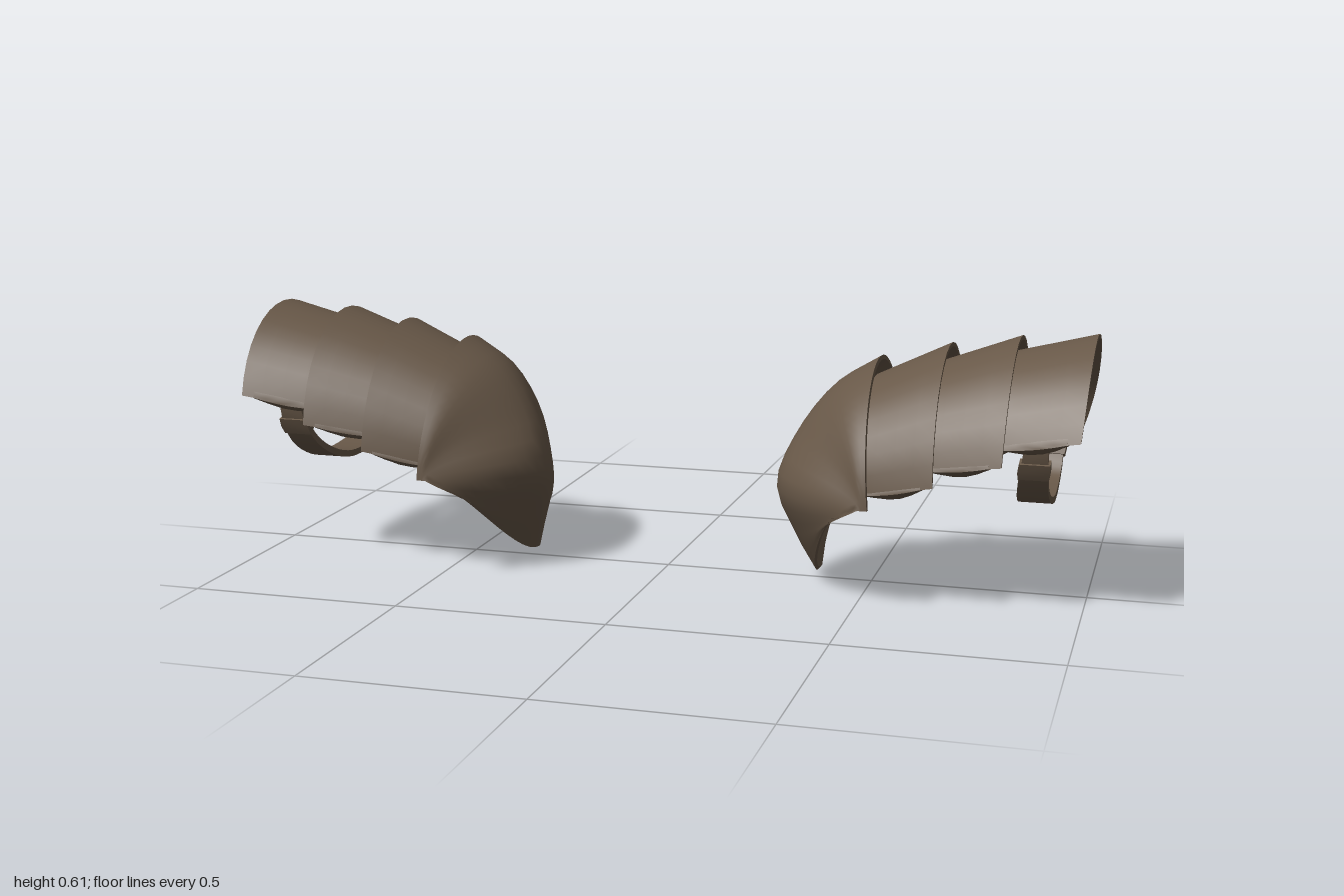
import * as THREE from 'three';
import { toCreasedNormals } from 'three/addons/utils/BufferGeometryUtils.js';

const { lerp, smoothstep, degToRad } = THREE.MathUtils;

// Closed thin shell from point(u, v, w): u runs toward the body, v front to back,
// w = 0 is the outer face and w = 1 the inner face. side = -1 mirrors it in x.
function shell(point, nu, nv, side) {
  const pos = [];
  const P = (i, j, w) => {
    const [x, y, z] = point(i / nu, j / nv, w);
    return [x * side, y, z];
  };
  const quad = (a, b, c, d) => {
    if (side < 0) [b, d] = [d, b];
    pos.push(...a, ...b, ...c, ...a, ...c, ...d);
  };
  for (let i = 0; i < nu; i++) {
    for (let j = 0; j < nv; j++) {
      quad(P(i, j, 0), P(i, j + 1, 0), P(i + 1, j + 1, 0), P(i + 1, j, 0));
      quad(P(i, j, 1), P(i + 1, j, 1), P(i + 1, j + 1, 1), P(i, j + 1, 1));
    }
    quad(P(i, 0, 0), P(i + 1, 0, 0), P(i + 1, 0, 1), P(i, 0, 1));
    quad(P(i, nv, 0), P(i, nv, 1), P(i + 1, nv, 1), P(i + 1, nv, 0));
  }
  for (let j = 0; j < nv; j++) {
    quad(P(0, j, 0), P(0, j, 1), P(0, j + 1, 1), P(0, j + 1, 0));
    quad(P(nu, j, 0), P(nu, j + 1, 0), P(nu, j + 1, 1), P(nu, j, 1));
  }
  const g = new THREE.BufferGeometry();
  g.setAttribute('position', new THREE.Float32BufferAttribute(pos, 3));
  return toCreasedNormals(g, 0.7);
}

// Arched plates: x, crown height and half width at the wide and narrow rims,
// arch centre height, the heights where the front and back edges stop,
// and how far the front and back corners of the wide rim shift in x
const PLATES = [
  { name: 'outerPlate', x: [1.0, 0.8], top: [0.61, 0.56], half: [0.283, 0.242], cy: 0.3, front: [0.415, 0.38], back: [0.335, 0.325], corner: [-0.01, -0.045] },
  { name: 'upperMiddlePlate', x: [0.83, 0.64], top: [0.6, 0.53], half: [0.285, 0.242], cy: 0.28, front: [0.355, 0.325], back: [0.295, 0.265], corner: [-0.005, -0.02] },
  { name: 'lowerMiddlePlate', x: [0.672, 0.5], top: [0.577, 0.495], half: [0.28, 0.238], cy: 0.255, front: [0.3, 0.26], back: [0.255, 0.235], corner: [0.005, -0.01] },
];

function platePoint(p) {
  return (u, v, w) => {
    const inset = 0.01 * w;
    const h = lerp(...p.top, u) - p.cy - inset;
    const r = lerp(...p.half, u) - inset;
    const a0 = Math.asin((lerp(...p.front, u) - p.cy) / h);
    const a1 = Math.PI - Math.asin((lerp(...p.back, u) - p.cy) / h);
    const a = lerp(a0, a1, v);
    const shift = p.corner[v < 0.5 ? 0 : 1] * Math.abs(2 * v - 1) ** 3 * (1 - u);
    return [lerp(...p.x, u) + shift, p.cy + h * Math.sin(a), r * Math.cos(a)];
  };
}

// Folded hem turning inward below the front or back end of a plate
function hemPoint(p, atFront) {
  const plate = platePoint(p);
  return (u, v, w) => {
    const [x, y, z] = plate(lerp(0.15, 0.9, u), atFront ? 0 : 1, 0);
    const k = atFront ? 1 - v : v;
    const s = Math.sign(z);
    return [x, y + 0.004 - 0.03 * k * Math.sin(0.5 + 2.3 * u) + 0.01 * w,
      z - s * (0.05 * k * k + 0.006 * w) + s * 0.006 * Math.sin(k * Math.PI)];
  };
}

// Crown line of the shoulder dome, from rim over the bulge to the pointed tip
const crown = new THREE.CatmullRomCurve3([
  [0.51, 0.54, 0], [0.41, 0.475, 0.01], [0.33, 0.37, 0.04],
  [0.286, 0.25, 0.08], [0.312, 0.12, 0], [0.36, 0, -0.08],
].map(a => new THREE.Vector3(...a)));

function domePoint(u, v, w) {
  const a = degToRad(180 * v), c = Math.cos(a), s = Math.sin(a), ac = Math.abs(c);
  const top = crown.getPoint(u);
  const hx = lerp(0.535, 0.5, u), hy = lerp(0.24, 0.222, v);
  // pointed bulge in the middle, then a flap rounder in front and straight behind
  const bulge = Math.sin(Math.PI * u);
  const reach = lerp(s, 1 - ac ** (c > 0 ? 1.45 : 2.4), bulge);
  const rise = lerp(s, 1 - ac ** (c > 0 ? 1.9 : 0.7), smoothstep(u, 0.5, 1));
  const z = (c > 0 ? 0.282 : 0.262) * c + top.z * s * s;
  const p = new THREE.Vector3(lerp(hx, top.x, reach), lerp(hy, top.y, rise), z);
  // thickness points toward the hollow of the dome
  if (w) p.add(new THREE.Vector3(hx + 0.03, 0.26, 0).sub(p).setLength(0.01));
  return [p.x, p.y, p.z];
}

// Arm strap hanging under the outer plate
const strapLine = new THREE.CatmullRomCurve3([
  [0.895, 0.43, 0.208], [0.888, 0.345, 0.19], [0.882, 0.29, 0.15], [0.878, 0.245, 0.07],
  [0.878, 0.222, -0.02], [0.878, 0.222, -0.11], [0.88, 0.236, -0.18], [0.886, 0.27, -0.215],
  [0.892, 0.34, -0.245],
].map(a => new THREE.Vector3(...a)));

// Band along a stretch of the strap line; wider and thicker at its middle
function bandPoint(v0, v1, ends, middle, thick) {
  return (u, v, w) => {
    const q = lerp(v0, v1, v), p = strapLine.getPoint(q), t = strapLine.getTangent(q);
    const k = thick * (w - 0.5);
    const half = lerp(ends, middle, Math.sin(Math.PI * v));
    return [p.x + lerp(half, -half, u), p.y + t.z * k, p.z - t.y * k];
  };
}

export function createModel() {
  const leather = new THREE.MeshStandardMaterial({ color: 0x685848 });
  leather.name = 'brownLeather';
  const model = new THREE.Group();
  model.name = 'shoulderArmourPair';

  for (const side of [1, -1]) {
    const guard = new THREE.Group();
    guard.name = side > 0 ? 'leftShoulderGuard' : 'rightShoulderGuard';
    const add = (name, point, nu, nv) => {
      const mesh = new THREE.Mesh(shell(point, nu, nv, side), leather);
      mesh.name = name;
      guard.add(mesh);
    };
    for (const p of PLATES) {
      add(p.name, platePoint(p), 4, 18);
      add(p.name + 'FrontHem', hemPoint(p, true), 5, 4);
      add(p.name + 'BackHem', hemPoint(p, false), 5, 4);
    }
    add('shoulderDome', domePoint, 16, 28);
    add('armStrap', bandPoint(0, 1, 0.024, 0.038, 0.016), 1, 28);
    add('frontStrapKeeper', bandPoint(0.11, 0.18, 0.034, 0.036, 0.026), 1, 2);
    add('backStrapKeeper', bandPoint(0.9, 0.99, 0.032, 0.034, 0.026), 1, 2);
    model.add(guard);
  }
  return model;
}
